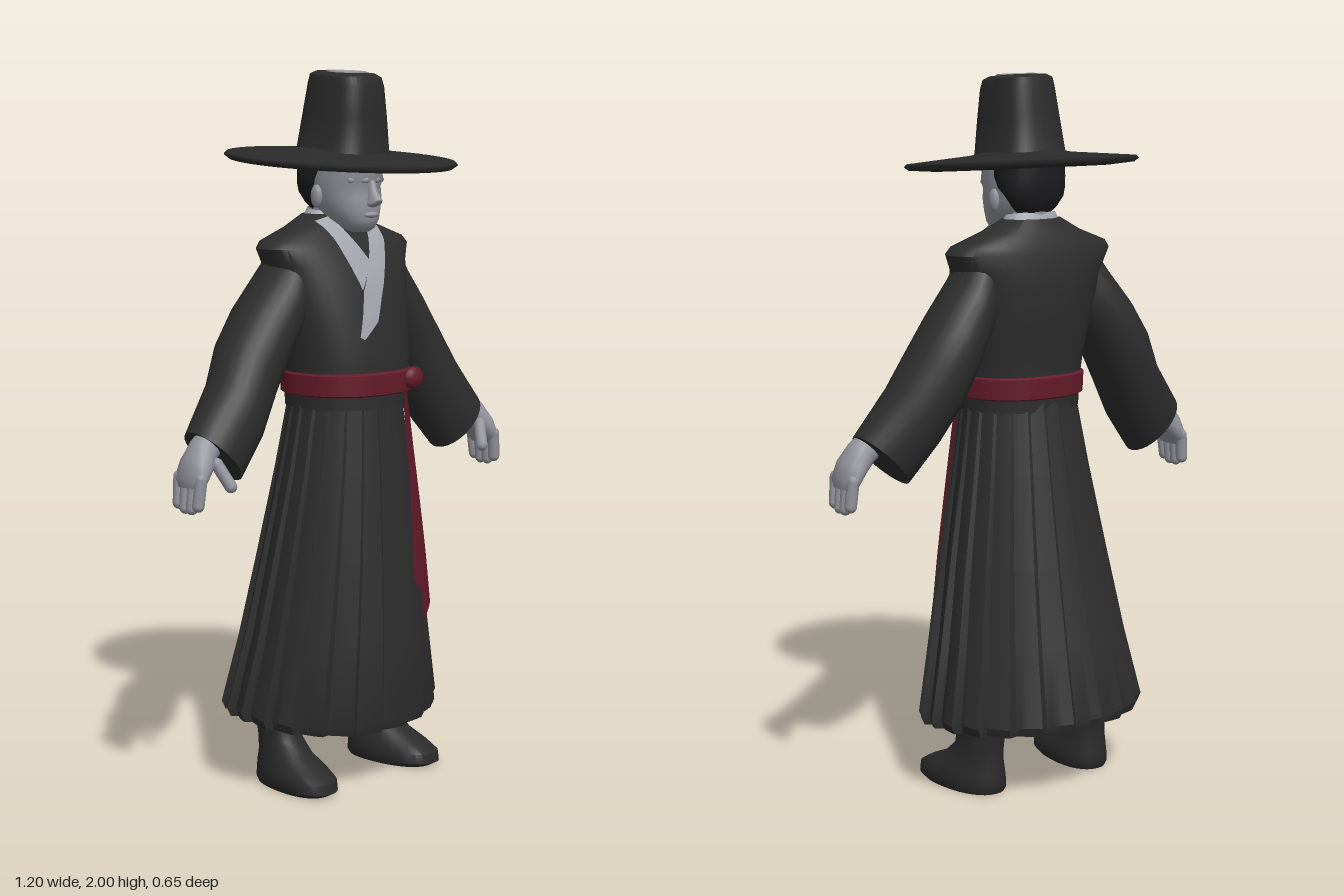
import * as THREE from 'three';
import { toCreasedNormals } from 'three/addons/utils/BufferGeometryUtils.js';

const mat = (name, color, side = THREE.FrontSide) =>
  Object.assign(new THREE.MeshStandardMaterial({ color, side }), { name });

// Skins a list of closed point rings, with optional end caps
function skin(rings, caps = true, crease = 0.8) {
  const n = rings[0].length, pos = [], idx = [];
  rings.forEach(r => r.forEach(p => pos.push(p.x, p.y, p.z)));
  for (let i = 0; i < rings.length - 1; i++)
    for (let j = 0; j < n; j++) {
      const k = (j + 1) % n, a = i * n + j, b = i * n + k, c = a + n, d = b + n;
      idx.push(a, c, b, b, c, d);
    }
  if (caps) [0, rings.length - 1].forEach((r, end) => {
    const m = new THREE.Vector3();
    rings[r].forEach(p => m.addScaledVector(p, 1 / n));
    const c = pos.length / 3;
    pos.push(m.x, m.y, m.z);
    for (let j = 0; j < n; j++) {
      const a = r * n + j, b = r * n + (j + 1) % n;
      end ? idx.push(c, b, a) : idx.push(c, a, b);
    }
  });
  const g = new THREE.BufferGeometry();
  g.setAttribute('position', new THREE.Float32BufferAttribute(pos, 3));
  g.setIndex(idx);
  return toCreasedNormals(g, crease);
}

// Horizontal sections [y, halfWidth, zFront, zBack], rounded by power p
function loft(sections, { p = 2, n = 32, cx = 0, tilt = 0, shear = 0, caps = true, crease = 0.8 } = {}) {
  const pw = v => Math.sign(v) * Math.abs(v) ** (2 / p);
  return skin(sections.map(([y, rx, zf, zb]) => Array.from({ length: n }, (_, j) => {
    const t = j / n * Math.PI * 2, z = (zf + zb) / 2 + (zf - zb) / 2 * pw(Math.sin(t));
    return new THREE.Vector3(cx + rx * pw(Math.cos(t)) + shear * z, y - tilt * z, z);
  })), caps, crease);
}

// Front surface height z of lofted sections at (x, y)
function frontZ(sections, p, x, y) {
  let i = 0;
  while (i < sections.length - 2 && y > sections[i + 1][0]) i++;
  const a = sections[i], b = sections[i + 1];
  const t = THREE.MathUtils.clamp((y - a[0]) / (b[0] - a[0]), 0, 1);
  const [, rx, zf, zb] = a.map((v, k) => v + (b[k] - v) * t);
  const u = Math.min(1, Math.abs(x) / rx);
  return (zf + zb) / 2 + (zf - zb) / 2 * (1 - u ** p) ** (1 / p);
}

// Cloth strip between two edges, rows [xa, ya, xb, yb], laid on a surface
function strip(rows, zAt) {
  const U = 5, V = 5, pos = [], idx = [];
  const total = (rows.length - 1) * V;
  for (let i = 0; i <= total; i++) {
    const s = Math.min(Math.floor(i / V), rows.length - 2), t = i / V - s;
    const [xa, ya, xb, yb] = rows[s].map((v, k) => v + (rows[s + 1][k] - v) * t);
    for (let j = 0; j <= U; j++) {
      const x = xa + (xb - xa) * j / U, y = ya + (yb - ya) * j / U;
      pos.push(x, y, zAt(x, y));
      if (i < total && j < U) {
        const a = i * (U + 1) + j, c = a + U + 1;
        idx.push(a, c, a + 1, a + 1, c, c + 1);
      }
    }
  }
  const g = new THREE.BufferGeometry();
  g.setAttribute('position', new THREE.Float32BufferAttribute(pos, 3));
  g.setIndex(idx);
  g.computeVertexNormals();
  return g;
}

// Limb sections [upperX, upperY, lowerX, lowerY, zFront, zBack]
const limb = (sections, n = 20) => skin(sections.map(([ux, uy, lx, ly, zf, zb]) =>
  Array.from({ length: n }, (_, j) => {
    const t = j / n * Math.PI * 2, c = Math.cos(t) / 2, s = -Math.sin(t) / 2;
    return new THREE.Vector3((ux + lx) / 2 + (ux - lx) * c, (uy + ly) / 2 + (uy - ly) * c, (zf + zb) / 2 + (zf - zb) * s);
  })));

// Rounded rod between two points
function rod(a, b, r) {
  const A = new THREE.Vector3(...a), B = new THREE.Vector3(...b), d = B.clone().sub(A);
  const q = new THREE.Quaternion().setFromUnitVectors(new THREE.Vector3(0, 1, 0), d.clone().normalize());
  const m = A.add(B).multiplyScalar(0.5);
  return new THREE.CapsuleGeometry(r, d.length(), 5, 10).applyQuaternion(q).translate(m.x, m.y, m.z);
}

// Mirrored copy across x = 0 with corner order restored
function mirror(geo) {
  const g = geo.index ? geo.toNonIndexed() : geo.clone();
  g.scale(-1, 1, 1);
  for (const key of ['position', 'normal']) {
    const a = g.attributes[key];
    for (let i = 0; i < a.count; i += 3)
      for (let k = 0; k < 3; k++) {
        const v = a.getComponent(i + 1, k);
        a.setComponent(i + 1, k, a.getComponent(i + 2, k));
        a.setComponent(i + 2, k, v);
      }
  }
  return g;
}

export function createModel() {
  const model = new THREE.Group();
  model.name = 'robedMan';
  const robe = mat('robeBlack', 0x2d2d2d, THREE.DoubleSide), hat = mat('hatBlack', 0x2a2a2a);
  const hair = mat('hairBlack', 0x1d1d1f), skinGrey = mat('skinGrey', 0x92949c);
  const cloth = mat('collarGrey', 0xa3a5ad, THREE.DoubleSide), red = mat('sashRed', 0x661b2b, THREE.DoubleSide);
  const add = (name, geo, m) => {
    const o = new THREE.Mesh(geo, m);
    o.name = name;
    model.add(o);
    return o;
  };
  const pair = (name, geo, m) => { add(name + 'Left', geo, m); add(name + 'Right', mirror(geo), m); };

  // Pleated skirt: saw-toothed rings that flare to a turned-in hem
  const skirtSections = [[0.2, 0.345, 0.222, -0.312], [0.42, 0.3, 0.213, -0.267], [0.65, 0.255, 0.203, -0.22],
    [0.9, 0.205, 0.185, -0.172], [1.13, 0.165, 0.165, -0.13]];
  const pleats = 22, steps = 6, count = pleats * steps;
  const skirtRing = ([y, rx, zf, zb], depth, inset, hem) => Array.from({ length: count }, (_, j) => {
    const t = j / count * Math.PI * 2, saw = Math.min(1, (j % steps) / (steps - 1));
    const r = inset * (1 - depth * saw), s = Math.sin(t);
    return new THREE.Vector3(rx * Math.cos(t) * r, y - hem * Math.max(0, s), (zf + zb) / 2 + (zf - zb) / 2 * s * r);
  });
  const hemRow = skirtSections[0];
  add('skirt', skin([
    skirtRing([0.215, ...hemRow.slice(1)], 0.03, 0.88, 0.035),
    skirtRing([0.2, ...hemRow.slice(1)], 0.06, 0.965, 0.035),
    skirtRing([0.225, ...hemRow.slice(1)], 0.07, 1, 0.035),
    ...skirtSections.slice(1).map((s, i) => skirtRing(s, 0.065 - i * 0.013, 1, 0))], true, 0.5), robe);

  // Jacket with squared shoulders
  const torso = [[1.075, 0.172, 0.176, -0.134], [1.17, 0.18, 0.177, -0.136], [1.23, 0.187, 0.173, -0.142],
    [1.33, 0.205, 0.152, -0.156], [1.42, 0.225, 0.128, -0.16], [1.47, 0.238, 0.107, -0.158],
    [1.515, 0.264, 0.084, -0.148], [1.535, 0.25, 0.072, -0.142], [1.57, 0.155, 0.045, -0.125], [1.605, 0.09, 0.01, -0.1]];
  add('jacket', loft(torso, { p: 2.3, n: 48 }), robe);

  // Crossed collar and its band behind the neck
  const onChest = off => (x, y) => frontZ(torso, 2.3, x, y) + off;
  add('collarUnder', strip([[-0.105, 1.588, -0.06, 1.6], [-0.085, 1.51, -0.03, 1.54], [-0.05, 1.4, 0.005, 1.48]], onChest(0.006)), cloth);
  add('collarOver', strip([[0.06, 1.6, 0.105, 1.588], [0.01, 1.5, 0.09, 1.53], [-0.05, 1.4, 0.012, 1.38],
    [-0.066, 1.34, -0.018, 1.315], [-0.085, 1.275, -0.072, 1.268]], onChest(0.01)), cloth);
  add('collarBand', loft([[1.55, 0.103, 0.04, -0.108], [1.585, 0.093, 0.02, -0.1], [1.612, 0.078, 0.005, -0.088]],
    { tilt: 0.15, caps: false }), cloth);

  // Belt, knot and hanging sash
  add('belt', loft([[1.11, 0.176, 0.178, -0.135], [1.115, 0.186, 0.189, -0.144], [1.17, 0.188, 0.189, -0.146],
    [1.176, 0.178, 0.178, -0.136]], { p: 2.3, n: 48, caps: false }), red);
  add('beltKnot', new THREE.SphereGeometry(1, 16, 10).scale(0.036, 0.032, 0.02).translate(0.108, 1.15, 0.178), red);
  const onSkirt = off => (x, y) => frontZ(skirtSections, 2, x, y) + off;
  add('sashUnder', strip([[0.085, 1.14, 0.12, 1.14], [0.095, 0.85, 0.14, 0.85], [0.085, 0.58, 0.15, 0.52]], onSkirt(0.012)), red);
  add('sash', strip([[0.08, 1.165, 0.138, 1.15], [0.1, 0.85, 0.16, 0.85], [0.128, 0.46, 0.19, 0.495]], onSkirt(0.02)), red);

  // Wide sleeves
  pair('sleeve', limb([[0.2, 1.53, 0.15, 1.3, 0.06, -0.12], [0.242, 1.462, 0.19, 1.25, 0.07, -0.145],
    [0.32, 1.37, 0.225, 1.18, 0.068, -0.155], [0.385, 1.28, 0.265, 1.1, 0.068, -0.15],
    [0.445, 1.175, 0.325, 1, 0.08, -0.12], [0.55, 1.045, 0.403, 0.9, 0.078, -0.085],
    [0.535, 1.03, 0.418, 0.915, 0.062, -0.068]], 28), robe);

  // Hands: palm, four fingers, thumb
  pair('palm', limb([[0.525, 1.055, 0.46, 0.995, 0.045, -0.025], [0.558, 1.025, 0.495, 0.97, 0.058, -0.028],
    [0.588, 0.98, 0.52, 0.945, 0.075, -0.036], [0.602, 0.93, 0.55, 0.915, 0.08, -0.04], [0.597, 0.905, 0.562, 0.9, 0.07, -0.03]]), skinGrey);
  for (let i = 0; i < 4; i++) {
    const z = -0.023 + i * 0.029, drop = i === 0 || i === 3 ? 0.01 : 0;
    pair('finger' + (i + 1), rod([0.578, 0.93, z], [0.585, 0.85 + drop, z * 0.9 + 0.002], 0.017), skinGrey);
  }
  pair('thumb', rod([0.52, 0.965, 0.06], [0.497, 0.905, 0.09], 0.017), skinGrey);

  // Boots with slightly turned-out toes
  pair('boot', loft([[0, 0.072, 0.15, -0.125], [0.012, 0.079, 0.172, -0.132], [0.04, 0.078, 0.168, -0.13],
    [0.062, 0.072, 0.13, -0.128], [0.09, 0.062, 0.065, -0.124], [0.13, 0.056, 0.018, -0.125],
    [0.18, 0.059, 0.01, -0.132], [0.3, 0.064, 0.02, -0.13]], { p: 2.3, cx: 0.193, shear: 0.09 }), hat);

  // Head: neck, face, nose, brow, lips and ears
  add('neck', new THREE.CylinderGeometry(0.056, 0.062, 0.16, 20).translate(0, 1.57, -0.035), skinGrey);
  add('face', loft([[1.557, 0.024, 0.098, 0.05], [1.568, 0.044, 0.112, 0.02], [1.59, 0.063, 0.122, -0.02],
    [1.62, 0.078, 0.123, -0.06], [1.655, 0.088, 0.122, -0.08], [1.682, 0.091, 0.117, -0.09],
    [1.7, 0.094, 0.127, -0.1], [1.78, 0.092, 0.12, -0.1]], { p: 2.2 }), skinGrey);
  add('nose', loft([[1.626, 0.01, 0.132, 0.1], [1.634, 0.02, 0.15, 0.1], [1.645, 0.018, 0.158, 0.1],
    [1.67, 0.011, 0.139, 0.1], [1.7, 0.012, 0.128, 0.1]], { n: 14 }), skinGrey);
  add('lips', new THREE.SphereGeometry(1, 14, 8).scale(0.027, 0.009, 0.012).translate(0, 1.605, 0.118), skinGrey);
  pair('brow', rod([0.02, 1.7, 0.119], [0.06, 1.7, 0.096], 0.009), skinGrey);
  pair('ear', new THREE.SphereGeometry(1, 12, 10).scale(0.012, 0.032, 0.02).translate(0.094, 1.655, 0), skinGrey);
  add('hair', loft([[1.612, 0.045, -0.03, -0.08], [1.635, 0.068, -0.02, -0.1], [1.665, 0.09, -0.01, -0.112],
    [1.69, 0.1, 0.025, -0.118], [1.72, 0.103, 0.045, -0.12], [1.78, 0.1, 0.05, -0.118]], { p: 2.2 }), hair);

  // Tall hat: tilted brim, squared crown and pale top
  const profile = [[0, -0.012], [0.12, -0.014], [0.24, -0.018], [0.312, -0.012], [0.325, -0.002], [0.318, 0.006],
    [0.24, 0.013], [0.14, 0.022], [0.1, 0.03], [0, 0.03]].map(([x, y]) => new THREE.Vector2(x, y));
  add('hatBrim', new THREE.LatheGeometry(profile, 64).rotateX(0.07).translate(0, 1.757, 0), hat);
  add('hatCrown', loft([[1.755, 0.122, 0.142, -0.128], [1.785, 0.106, 0.13, -0.114], [1.88, 0.094, 0.128, -0.098],
    [1.96, 0.085, 0.122, -0.083], [1.985, 0.08, 0.114, -0.077], [1.994, 0.066, 0.095, -0.06]], { p: 3, n: 40, tilt: 0.07 }), hat);
  add('hatTop', new THREE.CylinderGeometry(1, 1, 0.008, 32).scale(0.06, 1, 0.05).rotateX(0.07).translate(0, 1.9925, 0.021), cloth);
  return model;
}
